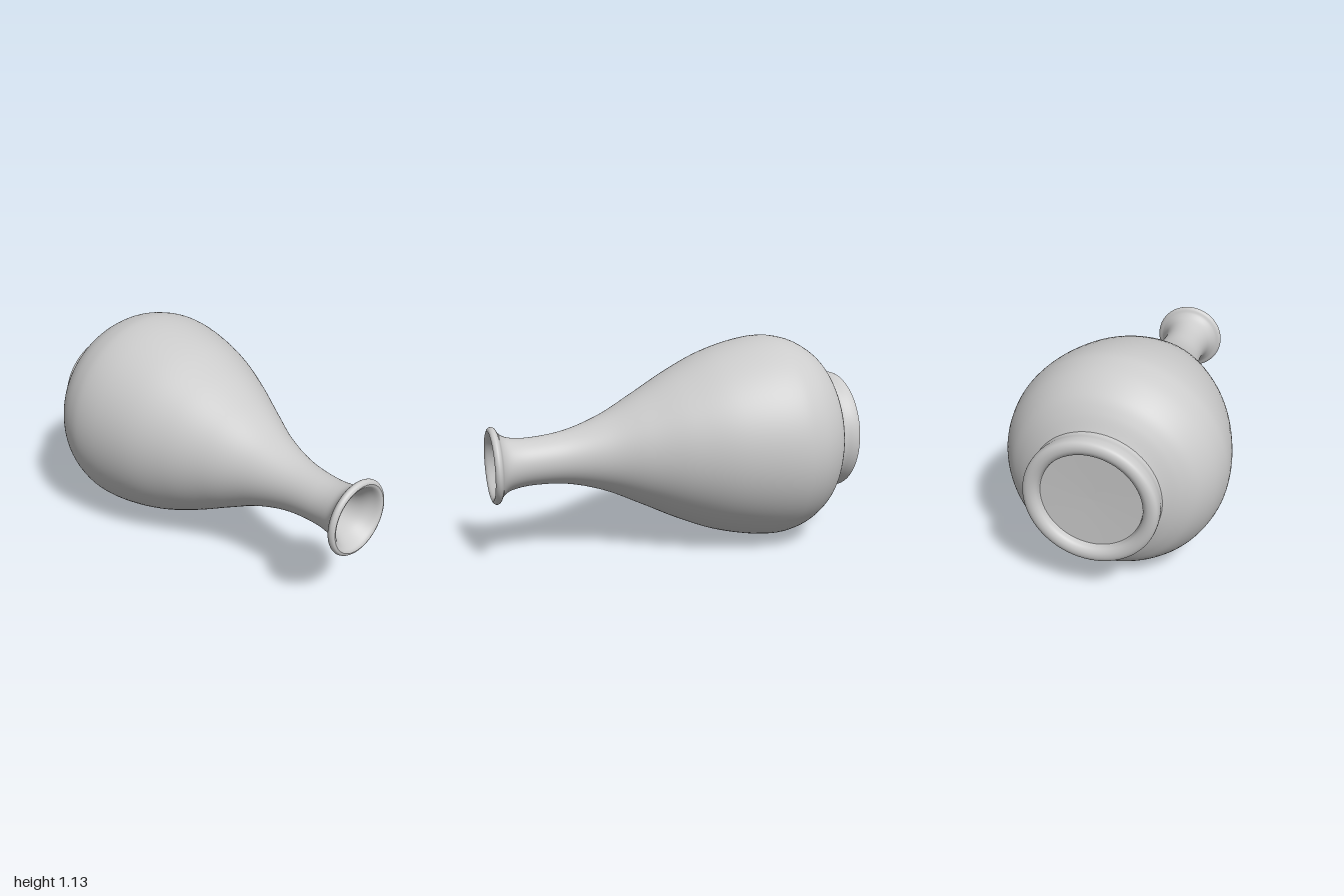
import * as THREE from 'three';

const material = new THREE.MeshStandardMaterial({ color: 0xcccccc });

// The vase lies along z; its axis dips slightly towards the mouth.
function bendAxis(geometry) {
  const p = geometry.attributes.position;
  for (let i = 0; i < p.count; i++) {
    const t = Math.max(0, (p.getZ(i) + 0.5) / 1.5);
    p.setY(i, p.getY(i) + 0.566 - 0.036 * Math.pow(t, 1.3));
  }
  return geometry;
}

// Turns a smooth curve through [radius, z] points around the z axis.
function turned(name, profile, steps) {
  const curve = new THREE.CatmullRomCurve3(profile.map(([r, z]) => new THREE.Vector3(r, z, 0)));
  const points = curve.getPoints(steps).map((v) => new THREE.Vector2(Math.max(0, v.x), v.y));
  const geometry = new THREE.LatheGeometry(points, 96);
  geometry.rotateX(Math.PI / 2);
  const mesh = new THREE.Mesh(bendAxis(geometry), material);
  mesh.name = name;
  return mesh;
}

export function createModel() {
  const group = new THREE.Group();
  group.name = 'vase';

  // Recessed underside inside the foot ring
  const base = turned('base', [[0, -0.95], [0.12, -0.952], [0.252, -0.955]], 8);

  // Rounded foot ring
  const foot = turned('footRing', [
    [0.252, -0.955], [0.26, -0.983], [0.282, -0.998], [0.31, -0.998],
    [0.328, -0.985], [0.332, -0.95], [0.326, -0.91], [0.328, -0.885],
  ], 40);
  base.position.x = foot.position.x = 0.006;

  // Shoulder, belly, slender neck and flared lip
  const body = turned('body', [
    [0.31, -0.9], [0.335, -0.887], [0.405, -0.85], [0.468, -0.8], [0.532, -0.7], [0.56, -0.6],
    [0.565, -0.53], [0.55, -0.4], [0.497, -0.2], [0.41, 0], [0.305, 0.2],
    [0.205, 0.4], [0.143, 0.6], [0.126, 0.78], [0.132, 0.87], [0.146, 0.92],
    [0.17, 0.95], [0.195, 0.965], [0.202, 0.98], [0.195, 0.994], [0.182, 1],
  ], 140);

  // Inside of the mouth, throat and hollow belly, down to the floor
  const interior = turned('interior', [
    [0.182, 1], [0.167, 0.993], [0.145, 0.965], [0.118, 0.92], [0.1, 0.86],
    [0.09, 0.77], [0.105, 0.6], [0.165, 0.4], [0.37, 0], [0.51, -0.4],
    [0.525, -0.53], [0.49, -0.7], [0.37, -0.82], [0.25, -0.86],
  ], 90);
  const floor = turned('interiorFloor', [[0.25, -0.86], [0.12, -0.865], [0, -0.866]], 8);

  group.add(base, foot, body, interior, floor);
  return group;
}
